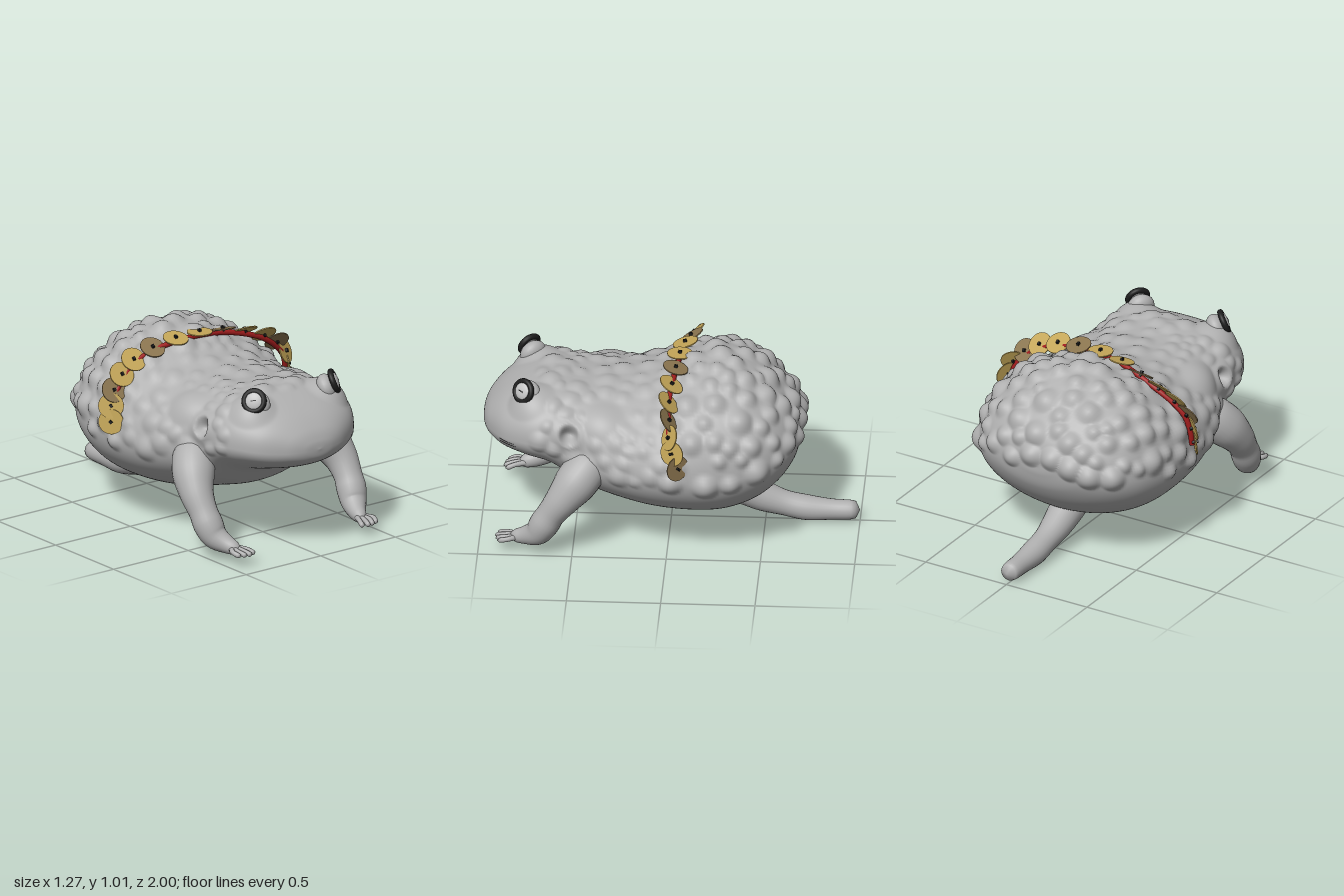
import * as THREE from 'three';
import { mergeVertices } from 'three/addons/utils/BufferGeometryUtils.js';

const mat = (name, color) => {
  const m = new THREE.MeshStandardMaterial({ color });
  m.name = name;
  return m;
};

// Closed-ring skin: point(u, angle) for u in 0..1
function loft(point, rows, cols) {
  const pos = [], idx = [];
  for (let i = 0; i <= rows; i++)
    for (let j = 0; j < cols; j++) {
      pos.push(...point(i / rows, (j / cols) * Math.PI * 2).toArray());
      if (i === rows) continue;
      const a = i * cols + j, b = i * cols + ((j + 1) % cols);
      idx.push(a, a + cols, b, b, a + cols, b + cols);
    }
  let g = new THREE.BufferGeometry();
  g.setAttribute('position', new THREE.Float32BufferAttribute(pos, 3));
  g.setIndex(idx);
  g = mergeVertices(g, 1e-5);
  g.computeVertexNormals();
  return g;
}

const v = (a) => new THREE.Vector3(...a);

// Tapered limb; each point is [x, y, z, radius]
function limb(pts, rows = 40, cols = 24) {
  const path = new THREE.CatmullRomCurve3(pts.map((p) => v(p.slice(0, 3))));
  const rad = new THREE.CatmullRomCurve3(pts.map((p, i) => v([p[3], i * 0.1, 0])));
  const f = path.computeFrenetFrames(rows);
  return loft((u, a) => {
    const i = Math.round(u * rows), t = path.getUtoTmapping(u);
    const r = Math.max(0, rad.getPoint(t).x);
    return path.getPoint(t)
      .addScaledVector(f.normals[i], Math.cos(a) * r)
      .addScaledVector(f.binormals[i], -Math.sin(a) * r);
  }, rows, cols);
}

export function createModel() {
  const root = new THREE.Group();
  root.name = 'toad';
  const skin = mat('skin grey', 0xb0b0b0), eyeGrey = mat('eye pale grey', 0xc4c4c4);
  const black = mat('black', 0x1c1c1c), red = mat('cord red', 0xa01c1c);
  const gold = mat('gold', 0xc4a658), bronze = mat('bronze', 0x8c7650);
  const add = (name, geo, m, parent = root) => {
    const mesh = new THREE.Mesh(geo, m);
    mesh.name = name;
    parent.add(mesh);
    return mesh;
  };
  let seed = 7;
  const rnd = () => (seed = (seed * 16807) % 2147483647) / 2147483647;

  // Body and head sections: z, half width, widest height, top, bottom
  const S = [
    [0.995, 0, 0.6, 0.6, 0.6], [0.985, 0.1, 0.6, 0.65, 0.55], [0.95, 0.2, 0.6, 0.71, 0.515],
    [0.87, 0.32, 0.61, 0.78, 0.48], [0.75, 0.4, 0.62, 0.84, 0.445], [0.62, 0.425, 0.61, 0.87, 0.4],
    [0.49, 0.43, 0.56, 0.86, 0.295], [0.33, 0.5, 0.52, 0.855, 0.24], [0.1, 0.555, 0.5, 0.88, 0.18],
    [-0.12, 0.57, 0.5, 0.96, 0.155], [-0.3, 0.55, 0.5, 0.985, 0.165], [-0.46, 0.5, 0.52, 0.925, 0.225],
    [-0.58, 0.41, 0.54, 0.825, 0.32], [-0.66, 0.28, 0.56, 0.73, 0.43], [-0.69, 0.13, 0.58, 0.64, 0.52],
    [-0.695, 0, 0.58, 0.58, 0.58],
  ];
  const cA = new THREE.CatmullRomCurve3(S.map((s) => v([s[0], s[1], s[2]])), false, 'catmullrom');
  const cB = new THREE.CatmullRomCurve3(S.map((s) => v([s[3], s[4], 0])), false, 'catmullrom');
  const bend = (n, p) => Math.sign(n) * Math.abs(n) ** p;
  const bodyPoint = (u, a) => {
    const A = cA.getPoint(u), B = cB.getPoint(u), s = Math.sin(a);
    // The crown of the head is squarer than the rest
    const p = s > 0 ? 1 - 0.22 * THREE.MathUtils.smoothstep(A.x, 0.15, 0.5) : 1;
    const y = A.z + (s > 0 ? B.x - A.z : A.z - B.y) * bend(s, p);
    return v([bend(Math.cos(a), p) * A.y, y, A.x]);
  };
  const body = loft(bodyPoint, 180, 180);

  // Bumps: centre, radius, height
  const bumps = [];
  for (const s of [-1, 1]) {
    bumps.push([v([s * 0.25, 0.8, 0.73]), 0.14, 0.045]); // brow
    bumps.push([v([s * 0.41, 0.68, 0.52]), 0.11, 0.03]); // ear rim
    bumps.push([v([s * 0.41, 0.68, 0.52]), 0.06, -0.075]); // ear pit
    bumps.push([v([s * 0.38, 0.75, 0.34]), 0.13, 0.025]); // neck swelling
  }
  for (let k = 0; k < 1500 && bumps.length < 180; k++) {
    const c = bodyPoint(0.3 + 0.68 * rnd(), -0.1 + rnd() * (Math.PI + 0.2));
    const r = (c.z < 0 ? 0.05 : 0.042) + rnd() * 0.035;
    if (c.y < 0.42 || bumps.some((b) => b[0].distanceTo(c) < (b[1] + r) * 0.66)) continue;
    bumps.push([c, r, r * (c.z < 0 ? 0.45 : 0.28)]);
  }
  const P = body.attributes.position, N = body.attributes.normal;
  for (let i = 0; i < P.count; i++) {
    const p = new THREE.Vector3().fromBufferAttribute(P, i);
    let up = 0, down = 0;
    for (const [c, r, h] of bumps) {
      const q = c.distanceToSquared(p) / (r * r);
      if (q >= 1) continue;
      const d = h * (1 - q) ** 1.6;
      if (d > 0) up = Math.max(up, d);
      else down = Math.min(down, d);
    }
    p.addScaledVector(new THREE.Vector3().fromBufferAttribute(N, i), up + down);
    P.setXYZ(i, p.x, p.y, p.z);
  }
  body.computeVertexNormals();
  const bodyMesh = add('body', body, skin);

  // Single hind leg
  add('hindLeg', limb([
    [0, 0.3, -0.14, 0], [0, 0.265, -0.22, 0.095], [0, 0.2, -0.36, 0.095], [0, 0.135, -0.49, 0.082],
    [0, 0.098, -0.6, 0.068], [0, 0.073, -0.72, 0.068], [0, 0.066, -0.85, 0.056], [0, 0.066, -0.95, 0.052],
    [0, 0.066, -0.985, 0.041], [0, 0.066, -1, 0],
  ]), skin);

  for (const s of [-1, 1]) {
    // Front legs with four toes
    const leg = new THREE.Group();
    leg.name = s > 0 ? 'leftFrontLeg' : 'rightFrontLeg';
    root.add(leg);
    add('arm', limb([
      [s * 0.33, 0.57, 0.36, 0], [s * 0.38, 0.52, 0.4, 0.1], [s * 0.445, 0.43, 0.475, 0.115],
      [s * 0.482, 0.335, 0.55, 0.092], [s * 0.485, 0.25, 0.61, 0.077], [s * 0.48, 0.19, 0.645, 0.08],
      [s * 0.465, 0.128, 0.685, 0.07], [s * 0.435, 0.092, 0.755, 0.048],
      [s * 0.42, 0.08, 0.81, 0.032], [s * 0.418, 0.076, 0.838, 0],
    ]), skin, leg);
    for (let k = 0; k < 4; k++) {
      const x = 0.365 + k * 0.031, z = 0.918 - Math.abs(k - 1.3) * 0.012;
      add('toe', limb([
        [s * (0.405 + k * 0.01), 0.08, 0.79, 0.016], [s * (x + 0.012), 0.08, 0.85, 0.013],
        [s * x, 0.068, z - 0.012, 0.013], [s * x, 0.065, z, 0],
      ], 10, 10), skin, leg);
    }
    // Eyes
    const eye = new THREE.Group();
    eye.name = s > 0 ? 'leftEye' : 'rightEye';
    eye.position.set(s * 0.268, 0.865, 0.77);
    eye.quaternion.setFromUnitVectors(v([0, 0, 1]), v([s * 0.72, 0.37, 0.58]).normalize());
    root.add(eye);
    add('eyeRim', new THREE.TorusGeometry(0.053, 0.016, 12, 36), black, eye);
    add('eyeball', new THREE.SphereGeometry(0.053, 28, 18), eyeGrey, eye).scale.z = 0.45;
    add('pupil', new THREE.BoxGeometry(0.03, 0.005, 0.006), black, eye).position.z = 0.022;
    const socket = add('eyeSocket', new THREE.SphereGeometry(0.075, 24, 16), skin, eye);
    socket.position.set(0, -0.018, -0.05);
    socket.scale.z = 0.7;
  }

  // Two fine lines at the left of the mouth
  bodyMesh.updateMatrixWorld(true);
  const hit = (x, y) => new THREE.Raycaster(v([x, y, 3]), v([0, 0, -1])).intersectObject(bodyMesh)[0].point;
  for (const y of [0.578, 0.592]) {
    const path = new THREE.CatmullRomCurve3([0.285, 0.31, 0.335, 0.36].map((x) => hit(x, y)));
    add('mouthLine', new THREE.TubeGeometry(path, 10, 0.0016, 6), black);
  }

  // Cord of coins draped over the back
  const half = [[0.59, 0.595], [0.582, 0.68], [0.555, 0.76], [0.49, 0.83], [0.4, 0.89], [0.28, 0.935], [0.145, 0.965]];
  const rightZ = [-0.05, -0.06, -0.07, -0.085, -0.1, -0.09, -0.065];
  const leftZ = [-0.065, -0.035, -0.02, -0.01, -0.005, -0.015, -0.03];
  const line = [
    ...half.map(([x, y], i) => v([-x, y, rightZ[i]])), v([0, 0.975, -0.045]),
    ...half.map(([x, y], i) => v([x, y, leftZ[i]])).reverse(),
  ];
  const chain = new THREE.Group();
  chain.name = 'coinString';
  root.add(chain);
  add('cord', new THREE.TubeGeometry(
    new THREE.CatmullRomCurve3(line.map((p) => v([p.x * 0.97, p.y - 0.018, p.z]))), 90, 0.015, 10), red, chain);
  // Coins twist along the cord; the hanging ends turn outward
  const endFacing = {
    0: [-0.75, 0.1, 0.62], 1: [-0.6, 0.2, 0.75], 12: [0.45, 0.35, 0.75], 13: [0.85, 0.15, 0.45], 14: [0.75, 0.1, -0.62],
  };
  line.forEach((p, i) => {
    const n = v(endFacing[i] ?? [p.x * 0.35, 1 - 0.9 * Math.abs(p.x), -1.6 * p.x]).normalize();
    const coin = new THREE.Group();
    coin.name = 'coin';
    coin.position.copy(p);
    coin.quaternion.setFromUnitVectors(v([0, 1, 0]), n);
    chain.add(coin);
    add('coinDisc', new THREE.CylinderGeometry(0.068, 0.068, 0.006, 32), i % 3 === 2 ? bronze : gold, coin);
    add('coinPin', new THREE.BoxGeometry(0.013, 0.034, 0.018), black, coin);
  });
  return root;
}
